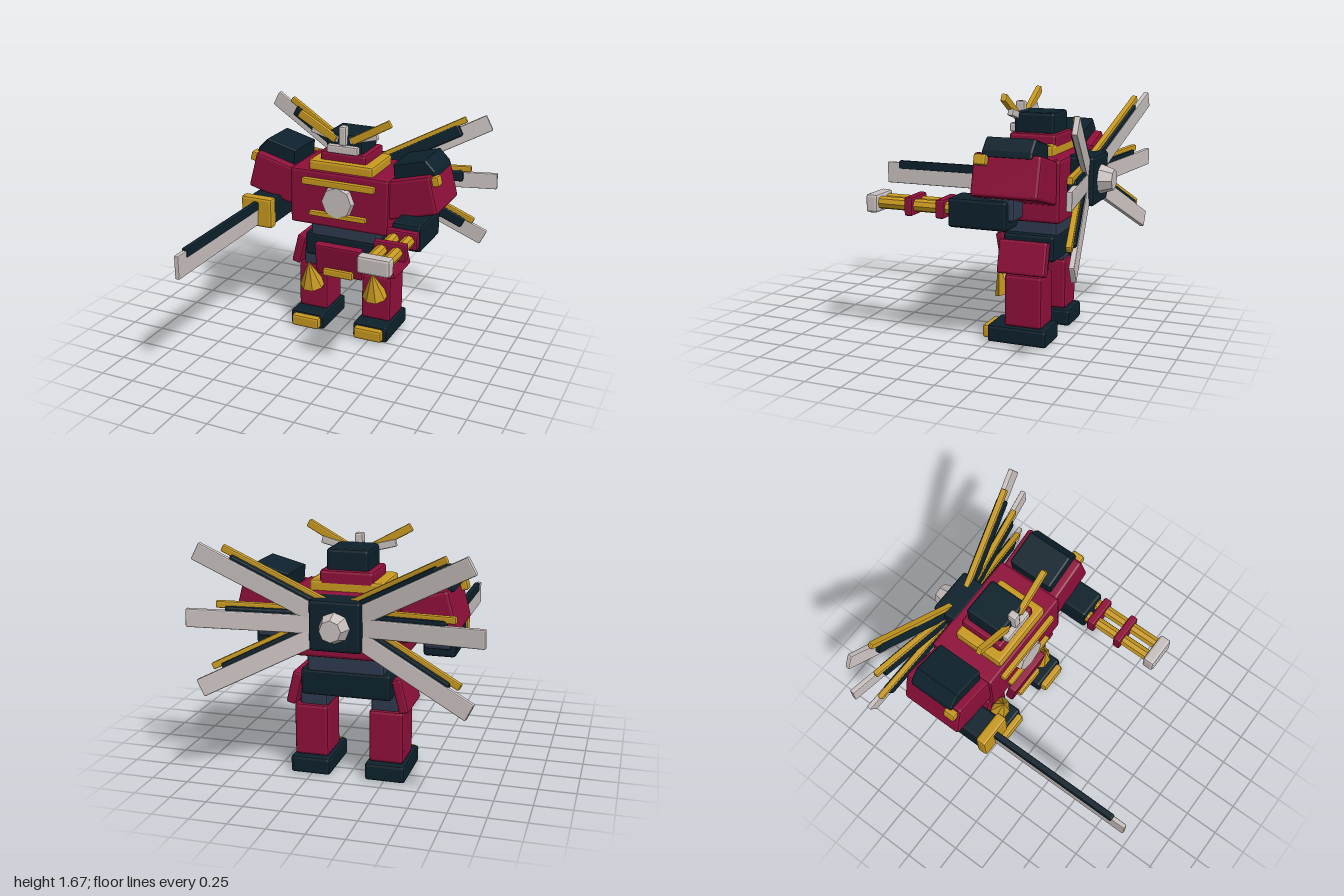
import * as THREE from 'three';
import { RoundedBoxGeometry } from 'three/addons/geometries/RoundedBoxGeometry.js';

const paint = (name, color) => Object.assign(new THREE.MeshStandardMaterial({ color }), { name });

export function createModel() {
  const model = new THREE.Group();
  model.name = 'armoredRobot';
  const red = paint('crimson', 0x8f0f3a);
  const dark = paint('darkTeal', 0x0d212c);
  const slate = paint('slate', 0x2e3a4e);
  const gold = paint('gold', 0xc99a1f);
  const pale = paint('paleGrey', 0xc9c1bf);

  const add = (name, geometry, material, x, y, z, parent = model) => {
    const g = geometry.index ? geometry.toNonIndexed() : geometry;
    g.computeVertexNormals(); // faceted
    const mesh = new THREE.Mesh(g, material);
    mesh.name = name;
    mesh.position.set(x, y, z);
    parent.add(mesh);
    return mesh;
  };
  // Bevelled block from its limits on each axis
  const block = (name, mat, [x0, x1], [y0, y1], [z0, z1], parent) => {
    const w = Math.abs(x1 - x0), h = y1 - y0, d = z1 - z0;
    const r = Math.min(0.02, Math.min(w, h, d) * 0.22);
    return add(name, new RoundedBoxGeometry(w, h, d, 1, r), mat,
      (x0 + x1) / 2, (y0 + y1) / 2, (z0 + z1) / 2, parent);
  };
  const side = (s, a, b) => [s * a, s * b];

  // Torso, waist and pelvis
  block('pelvis', dark, [-0.305, 0.305], [0.57, 0.75], [-0.68, -0.32]);
  block('waist', slate, [-0.26, 0.26], [0.73, 0.88], [-0.68, -0.32]);
  block('torso', red, [-0.385, 0.385], [0.85, 1.27], [-0.74, -0.24]);
  block('collar', gold, [-0.25, 0.25], [1.25, 1.34], [-0.64, -0.265]);
  block('neck', red, [-0.18, 0.18], [1.3, 1.405], [-0.64, -0.31]);
  block('upperChestBar', gold, [-0.28, 0.28], [1.165, 1.215], [-0.25, -0.205]);
  block('lowerChestBar', gold, [-0.22, 0.22], [0.935, 0.97], [-0.25, -0.205]);
  add('chestDisc', new THREE.CylinderGeometry(0.115, 0.128, 0.05, 8), pale, 0, 1.06, -0.225)
    .rotation.x = Math.PI / 2;
  block('frontSkirt', red, [-0.185, 0.185], [0.465, 0.715], [-0.3, -0.235]).rotation.x = 0.17;
  block('frontSkirtTrim', gold, [-0.12, 0.12], [0.465, 0.525], [-0.28, -0.22]);

  // Head
  block('head', dark, [-0.14, 0.14], [1.34, 1.54], [-0.615, -0.33]);
  block('facePlate', pale, [-0.12, 0.12], [1.4, 1.46], [-0.34, -0.29]);
  block('crest', pale, [-0.028, 0.028], [1.46, 1.6], [-0.36, -0.295]);

  for (const s of [-1, 1]) {
    // Head fins
    block('goldFin', gold, side(s, 0.04, 0.37), [1.545, 1.6], [-0.355, -0.315])
      .rotation.z = s * 0.51;
    block('paleFin', pale, side(s, 0.04, 0.255), [1.497, 1.545], [-0.365, -0.325])
      .rotation.z = s * 0.25;

    // Legs
    block('foot', dark, side(s, 0.12, 0.395), [0, 0.12], [-0.66, -0.24]);
    block('toe', gold, side(s, 0.145, 0.365), [0.015, 0.105], [-0.27, -0.195]);
    block('leg', red, side(s, 0.14, 0.375), [0.12, 0.48], [-0.62, -0.355]);
    block('thigh', slate, side(s, 0.15, 0.34), [0.46, 0.62], [-0.6, -0.37]);
    const knee = add('kneeSpike', new THREE.ConeGeometry(0.098, 0.22, 8).rotateY(Math.PI / 8),
      gold, s * 0.257, 0.432, -0.308);
    knee.rotation.x = 0.35;
    block('sideSkirt', red, side(s, 0.325, 0.395), [0.485, 0.715], [-0.655, -0.315])
      .rotation.z = s * 0.24;

    // Shoulder with a sloped pad, tilted up at the outside
    const shoulder = new THREE.Group();
    shoulder.name = 'shoulder';
    shoulder.position.set(s * 0.524, 1.155, 0);
    shoulder.rotation.z = s * 0.26;
    model.add(shoulder);
    block('shoulderBlock', red, [-0.19, 0.19], [-0.14, 0.14], [-0.715, -0.26], shoulder);
    const profile = [[-0.1, 0.12], [0.2, 0.12], [0.2, 0.15], [0.15, 0.235], [-0.08, 0.235]]
      .map(([x, y]) => new THREE.Vector2(s * x, y));
    add('shoulderPad', new THREE.ExtrudeGeometry(new THREE.Shape(profile), {
      depth: 0.31, bevelThickness: 0.012, bevelSize: 0.008, bevelSegments: 1,
    }), dark, 0, 0, -0.645, shoulder);
    block('shoulderStud', gold, side(s, 0.18, 0.235), [0.055, 0.125], [-0.365, -0.28], shoulder);

    // Arms
    block('elbow', slate, side(s, 0.48, 0.66), [0.9, 1.1], [-0.53, -0.34]);
    block('forearm', dark, side(s, 0.47, 0.685), [0.84, 1.035], [-0.49, s > 0 ? -0.085 : -0.12]);
  }

  // Twin-barrel cannon on the left arm
  for (const x of [0.52, 0.63]) {
    add('cannonBarrel', new THREE.CylinderGeometry(0.042, 0.042, 0.56, 8), gold, x, 0.955, 0.16)
      .rotation.x = Math.PI / 2;
  }
  block('rearCannonBand', red, [0.46, 0.69], [0.89, 1.015], [-0.06, 0]);
  block('frontCannonBand', red, [0.46, 0.69], [0.89, 1.015], [0.165, 0.222]);
  block('cannonMuzzle', pale, [0.46, 0.69], [0.89, 1.015], [0.42, 0.505]);

  // Sword on the right arm
  block('swordGuard', gold, [-0.7, -0.455], [0.835, 1.06], [-0.145, -0.065]);
  block('swordBlade', pale, [-0.595, -0.563], [0.85, 1.015], [-0.1, 1]);
  block('swordSpine', dark, [-0.6, -0.558], [0.965, 1.03], [-0.1, 0.9]);

  // Back unit
  block('backpack', dark, [-0.17, 0.17], [0.94, 1.27], [-0.9, -0.71]);
  add('backHub', new THREE.CylinderGeometry(0.07, 0.105, 0.1, 8), pale, 0, 1.1, -0.94)
    .rotation.x = -Math.PI / 2;

  // Fan of swept-back wing blades: lift angle, then reach of the three layers
  const blades = [[0.49, 1.0, 0.79, 0.86], [0.03, 0.97, 0.72, 0.78], [-0.46, 0.99, 0.8, 0.86]];
  for (const s of [-1, 1]) {
    for (const [lift, tip, mid, edge] of blades) {
      const wing = new THREE.Group();
      wing.name = 'wingBlade';
      wing.position.set(0, 1.095, -0.815);
      wing.rotation.set(0, s * 0.172, s * lift, 'ZYX');
      model.add(wing);
      block('bladePlate', pale, side(s, 0.08, tip), [-0.06, 0.06], [-0.018, 0.018], wing);
      block('bladeSpine', dark, side(s, 0.08, mid), [-0.005, 0.088], [-0.012, 0.05], wing);
      block('bladeTrim', gold, side(s, 0.12, edge), [0.07, 0.115], [0.005, 0.045], wing);
    }
  }
  return model;
}
